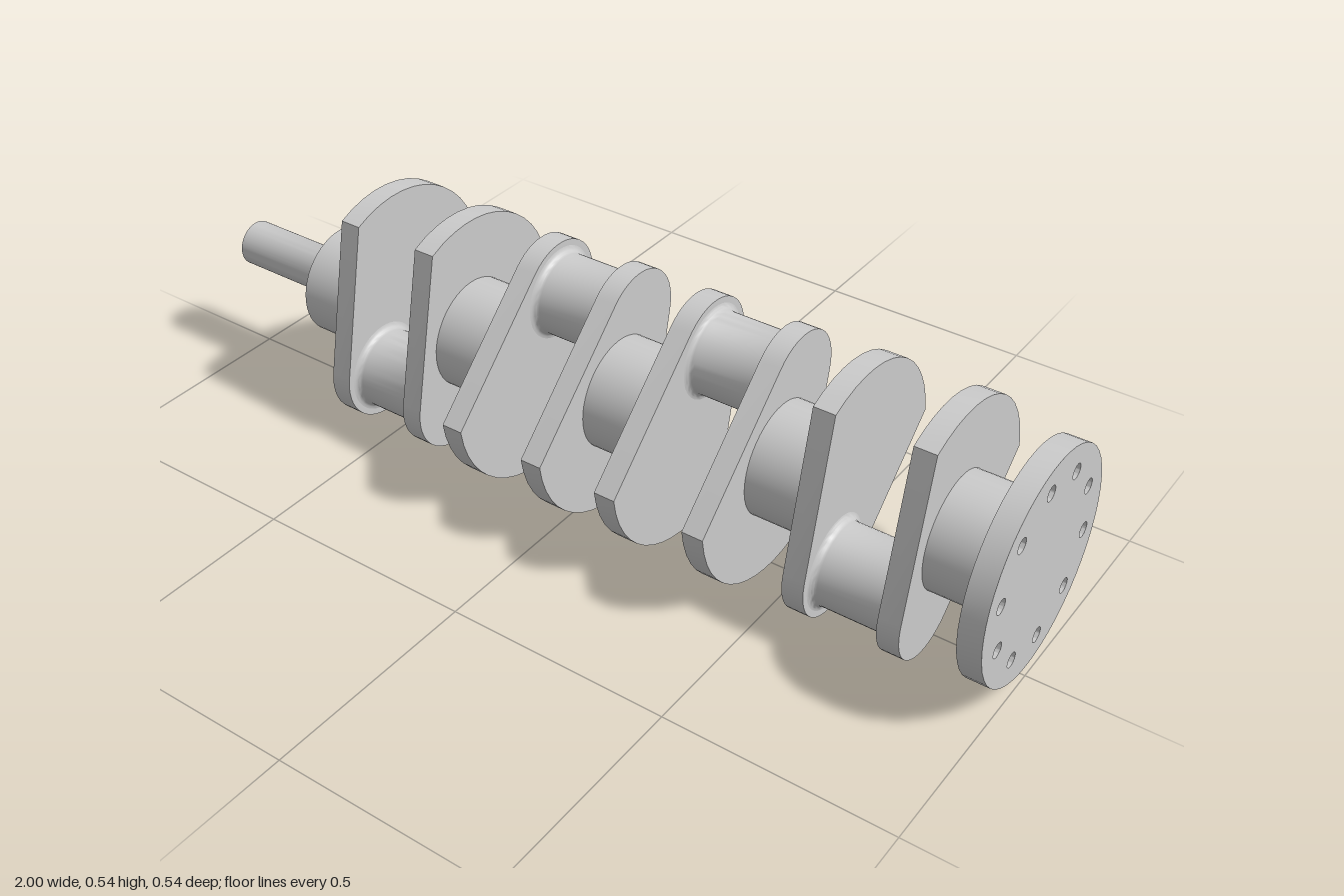
import * as THREE from 'three';
import { toCreasedNormals } from 'three/addons/utils/BufferGeometryUtils.js';

const AXIS_Y = 0.272;              // height of the rotation axis
const THROW = 0.15;                // crank pin offset from the axis
const PIN_ANGLE = 241.7 * Math.PI / 180;
const WEB_T = 0.048;
const rad = THREE.MathUtils.degToRad;
const material = new THREE.MeshStandardMaterial({ color: 0xcccccc });

// Shapes are drawn in the plane across the shaft, then extruded along +x.
function extrudeAlongX(shape, depth, curveSegments) {
  const g = new THREE.ExtrudeGeometry(shape, { depth, bevelEnabled: false, curveSegments });
  g.rotateY(Math.PI / 2);
  return toCreasedNormals(g, rad(30));
}

// Turned part from [radius, x] pairs.
function turned(profile) {
  const g = new THREE.LatheGeometry(profile.map(([r, x]) => new THREE.Vector2(r, x)), 48);
  g.rotateZ(-Math.PI / 2);
  return toCreasedNormals(g, rad(35));
}

// Cylinder profile with small fillets flaring out at both ends.
function filletedProfile(r, x0, x1, f) {
  const start = [], end = [];
  for (let i = 0; i <= 4; i++) {
    const a = (i / 4) * Math.PI / 2;
    const radius = r + f * (1 - Math.sin(a));
    const dx = f * (1 - Math.cos(a));
    start.push([radius, x0 + dx]);
    end.unshift([radius, x1 - dx]);
  }
  return [...start, ...end];
}

// Web outline: lobe round the pin, straight flanks, counterweight arc.
function webShape(angle) {
  const lobeR = 0.118, weightR = 0.272, weightStart = rad(126);
  const px = weightR * Math.cos(weightStart) - THROW;
  const py = weightR * Math.sin(weightStart);
  const tangent = Math.atan2(py, px) - Math.acos(lobeR / Math.hypot(px, py));
  const pts = [];
  const arc = (cx, r, a0, a1, n) => {
    for (let i = 0; i <= n; i++) {
      const a = a0 + (a1 - a0) * i / n;
      pts.push(new THREE.Vector2(cx + r * Math.cos(a), r * Math.sin(a)));
    }
  };
  arc(THROW, lobeR, -tangent, tangent, 18);
  arc(0, weightR, weightStart, 2 * Math.PI - weightStart, 14);
  const origin = new THREE.Vector2();
  return new THREE.Shape(pts.map(p => p.rotateAround(origin, angle)));
}

// Output flange with a ring of through holes.
function flangeShape() {
  const s = new THREE.Shape().absarc(0, 0, 0.244, 0, Math.PI * 2, false);
  for (let i = 0; i < 10; i++) {
    const a = rad(97.7 + 36 * i);
    s.holes.push(new THREE.Path().absarc(0.187 * Math.cos(a), 0.187 * Math.sin(a), 0.0165, 0, Math.PI * 2, true));
  }
  return s;
}

export function createModel() {
  const group = new THREE.Group();
  const add = (name, geometry, x = 0, y = AXIS_Y, z = 0) => {
    const mesh = new THREE.Mesh(geometry, material);
    mesh.name = name;
    mesh.position.set(x, y, z);
    group.add(mesh);
  };

  // Nose shaft and first main journal
  add('noseShaft', turned([[0, -1], [0.052, -1], [0.052, -0.738], [0.055, -0.731], [0.06, -0.728],
    [0.125, -0.728], [0.125, -0.59]]));

  // Remaining main journals
  const mains = [[-0.355, -0.2], [0.03, 0.185], [0.42, 0.572], [0.807, 0.955]];
  for (const [x0, x1] of mains) add('mainJournal', turned([[0.125, x0], [0.125, x1]]));

  // Four throws: two webs and a pin each; the middle two point the opposite way
  const throws = [
    { webs: [-0.6, -0.396], turn: 0 },
    { webs: [-0.211, -0.007], turn: Math.PI },
    { webs: [0.175, 0.382], turn: Math.PI },
    { webs: [0.562, 0.769], turn: 0 },
  ];
  for (const { webs, turn } of throws) {
    const angle = PIN_ANGLE + turn;
    for (const x of webs) add('crankWeb', extrudeAlongX(webShape(angle), WEB_T, 12), x);
    add('crankPin', turned(filletedProfile(0.09, webs[0] + WEB_T, webs[1], 0.014)),
      0, AXIS_Y + THROW * Math.sin(angle), -THROW * Math.cos(angle));
  }

  // Flange at the output end
  add('flange', extrudeAlongX(flangeShape(), 0.05, 24), 0.95);

  return group;
}
